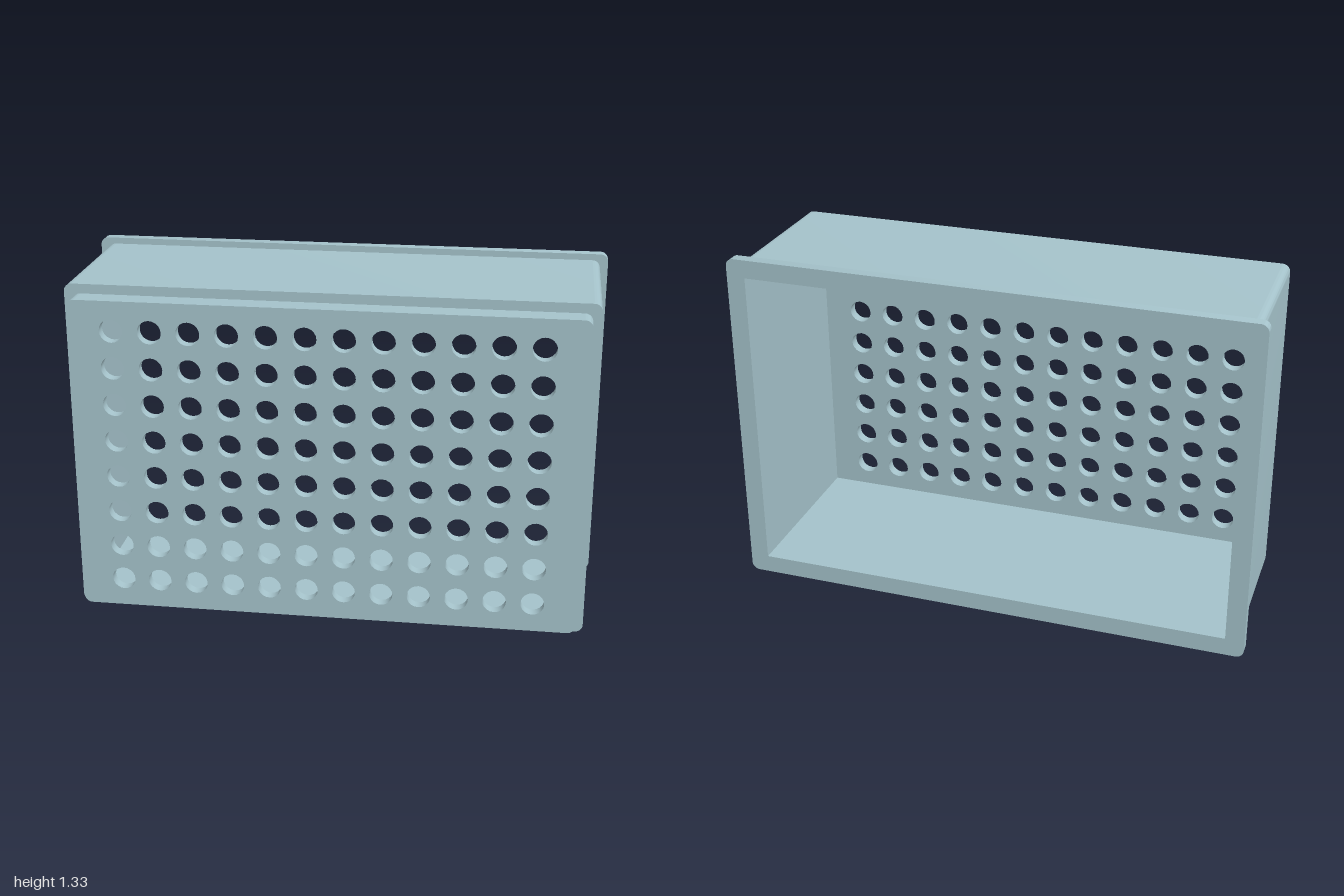
import * as THREE from 'three';
import { toCreasedNormals } from 'three/addons/utils/BufferGeometryUtils.js';

const CY = 0.667; // height of the centre line
const BACK = -0.362, FLANGE = -0.319, SHOULDER = 0.278, FLOOR = 0.321, FRONT = 0.362;
const COLS = 12, ROWS = 8, PITCH = 0.1414, HOLE_R = 0.044;

// Rectangle with rounded corners, centred on the origin
function roundedRect(hw, hh, r) {
  const s = new THREE.Shape();
  s.moveTo(-hw + r, -hh);
  s.lineTo(hw - r, -hh);
  s.absarc(hw - r, -hh + r, r, -Math.PI / 2, 0);
  s.lineTo(hw, hh - r);
  s.absarc(hw - r, hh - r, r, 0, Math.PI / 2);
  s.lineTo(-hw + r, hh);
  s.absarc(-hw + r, hh - r, r, Math.PI / 2, Math.PI);
  s.lineTo(-hw, -hh + r);
  s.absarc(-hw + r, -hh + r, r, Math.PI, Math.PI * 1.5);
  return s;
}

// Square-cornered inner opening shared by all the frames
function opening(hw = 0.928, hh = 0.597) {
  return new THREE.Path([[-hw, -hh], [-hw, hh], [hw, hh], [hw, -hh]].map(p => new THREE.Vector2(...p)));
}

export function createModel() {
  const group = new THREE.Group();
  const material = new THREE.MeshStandardMaterial({ color: 0xa5c3cb });

  function addPart(name, shape, z0, z1) {
    const extruded = new THREE.ExtrudeGeometry(shape, { depth: z1 - z0, bevelEnabled: false, curveSegments: 10 });
    const mesh = new THREE.Mesh(toCreasedNormals(extruded, 0.6), material);
    mesh.name = name;
    mesh.position.set(0, CY, z0);
    group.add(mesh);
  }

  // Hollow frames: rim at the open back, main walls, stepped front
  const frames = [
    ['backRim', 1, 0.667, BACK, FLANGE],
    ['walls', 0.97, 0.643, FLANGE, SHOULDER],
    ['frontStep', 0.939, 0.607, SHOULDER, FLOOR],
  ];
  for (const [name, hw, hh, z0, z1] of frames) {
    const shape = roundedRect(hw, hh, 0.03);
    shape.holes.push(opening());
    addPart(name, shape, z0, z1);
  }

  // Front plate with a grid of round holes
  const plate = roundedRect(0.939, 0.607, 0.03);
  for (let i = 0; i < COLS; i++) {
    for (let j = 0; j < ROWS; j++) {
      const hole = new THREE.Path();
      hole.absarc((i - (COLS - 1) / 2) * PITCH, (j - (ROWS - 1) / 2) * PITCH, HOLE_R, 0, Math.PI * 2, true);
      plate.holes.push(hole);
    }
  }
  addPart('perforatedPlate', plate, FLOOR, FRONT);

  return group;
}
